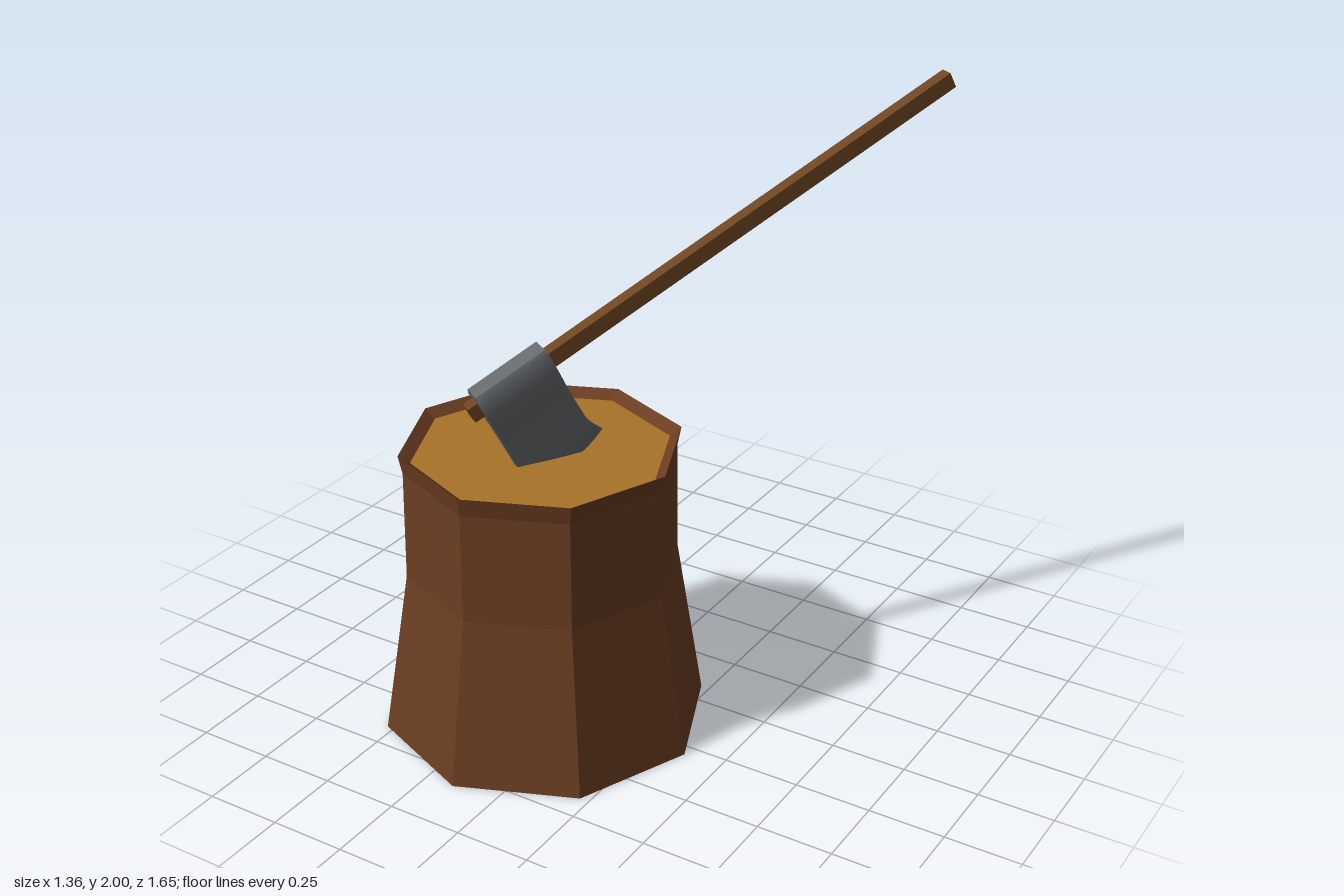
import * as THREE from 'three';
import { toCreasedNormals } from 'three/addons/utils/BufferGeometryUtils.js';

const material = (color, extra = {}) =>
  new THREE.MeshStandardMaterial({ color, ...extra });

function addMesh(parent, name, geometry, mat) {
  const mesh = new THREE.Mesh(geometry, mat);
  mesh.name = name;
  parent.add(mesh);
  return mesh;
}

// Axe head: closed rings stacked from the cutting edge up to the top.
// Each row: height, back end, front end, half thickness, sag of the middle.
function axeHeadGeometry() {
  const rows = [
    [-0.322, 0.003, 0.324, 0, 0.035],
    [-0.285, 0.025, 0.306, 0.01, 0.02],
    [-0.25, 0.035, 0.295, 0.014, 0.01],
    [-0.17, 0.036, 0.292, 0.021, 0],
    [-0.09, 0.036, 0.291, 0.031, 0],
    [-0.03, 0.034, 0.291, 0.042, 0],
    [0.037, 0.034, 0.291, 0.042, 0],
    [0.052, 0.038, 0.289, 0.034, 0],
  ];
  const columns = 8;
  const ringSize = 2 * (columns + 1);
  const positions = [];
  const index = [];
  for (const [v, back, front, t, sag] of rows) {
    for (let k = 0; k < ringSize; k++) {
      const near = k <= columns;
      const f = (near ? k : ringSize - 1 - k) / columns;
      const drop = sag * (1 - (2 * f - 1) ** 2);
      positions.push(back + (front - back) * f, v - drop, near ? t : -t);
    }
  }
  for (let r = 0; r < rows.length - 1; r++) {
    for (let k = 0; k < ringSize; k++) {
      const a = r * ringSize + k;
      const b = r * ringSize + ((k + 1) % ringSize);
      index.push(a, b, b + ringSize, a, b + ringSize, a + ringSize);
    }
  }
  // Top cap
  const top = (rows.length - 1) * ringSize;
  for (let k = 0; k < columns; k++) {
    const a = top + k;
    const d = top + ringSize - 1 - k;
    index.push(a, a + 1, d - 1, a, d - 1, d);
  }
  const geometry = new THREE.BufferGeometry();
  geometry.setAttribute('position', new THREE.Float32BufferAttribute(positions, 3));
  geometry.setIndex(index);
  return toCreasedNormals(geometry, 0.5);
}

export function createModel() {
  const model = new THREE.Group();
  model.name = 'axeInStump';

  // Eight-sided stump, open underneath, with a sloped inner rim
  const stump = new THREE.Group();
  stump.name = 'stump';
  stump.position.set(-0.153, 0, 0.292);
  model.add(stump);
  const profile = [[0.525, 0], [0.438, 0.55], [0.434, 0.91], [0.447, 0.972], [0.41, 0.945]]
    .map(([r, y]) => new THREE.Vector2(r, y));
  addMesh(stump, 'bark', new THREE.LatheGeometry(profile, 8),
    material(0x6b3d22, { flatShading: true, side: THREE.DoubleSide }));
  const cut = addMesh(stump, 'cutSurface', new THREE.CircleGeometry(0.41, 8),
    material(0xa87328, { side: THREE.DoubleSide }));
  cut.rotation.x = -Math.PI / 2;
  cut.position.y = 0.945;

  // Axe: local x runs along the handle, local y away from the cutting edge
  const axe = new THREE.Group();
  axe.name = 'axe';
  axe.position.set(-0.238, 1.15, 0.545);
  axe.rotation.set(0, 0.988, 0.472);
  model.add(axe);
  const length = 1.819;
  const handle = addMesh(axe, 'handle', new THREE.BoxGeometry(length, 0.052, 0.045),
    material(0x6e4522));
  handle.position.x = length / 2;
  addMesh(axe, 'axeHead', axeHeadGeometry(), material(0x666a6d));

  return model;
}
